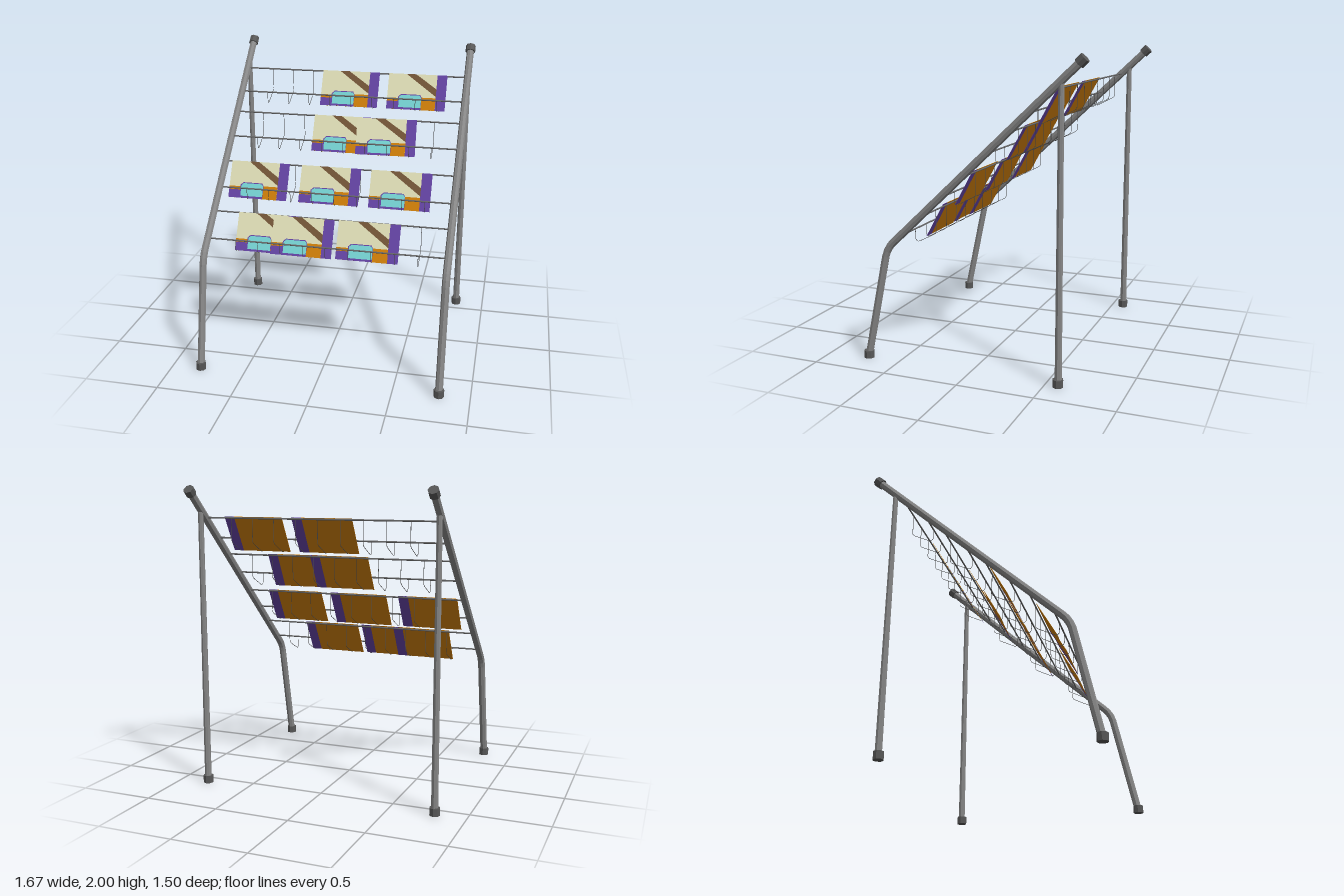
import * as THREE from 'three';

const mat = (name, color) => Object.assign(new THREE.MeshStandardMaterial({ color }), { name });

export function createModel() {
  const steel = mat('steel', 0x878787), rubber = mat('darkRubber', 0x585858);
  const rail = mat('railGrey', 0x686868), wire = mat('wireGrey', 0x505050);
  const cream = mat('cream', 0xdbdab4), purple = mat('purple', 0x6343a2);
  const orange = mat('orange', 0xcc7c08), cyan = mat('cyan', 0x75d2d2), brown = mat('brown', 0x725436);
  steel.flatShading = rubber.flatShading = true;

  const root = new THREE.Group();
  root.name = 'magazineRack';
  const add = (parent, name, geometry, material) => {
    const mesh = new THREE.Mesh(geometry, material);
    mesh.name = name;
    parent.add(mesh);
    return mesh;
  };
  const V = (y, z) => new THREE.Vector3(0, y, z);

  // Side frames: bent front tube, straight rear leg, end caps
  const bent = new THREE.CurvePath();
  const foot = V(0.02, 0.72), low = V(0.70, 0.575), knee = V(0.765, 0.56), high = V(0.81, 0.507), top = V(1.958, -0.707);
  bent.add(new THREE.LineCurve3(foot, low));
  bent.add(new THREE.QuadraticBezierCurve3(low, knee, high));
  bent.add(new THREE.LineCurve3(high, top));
  const tubeGeo = new THREE.TubeGeometry(bent, 64, 0.025, 8);
  const legGeo = new THREE.CylinderGeometry(0.018, 0.023, 1.8, 8);
  const capGeo = new THREE.CylinderGeometry(0.034, 0.034, 0.05, 8);
  for (const side of [-1, 1]) {
    const frame = new THREE.Group();
    frame.name = side > 0 ? 'leftFrame' : 'rightFrame';
    frame.position.x = side * 0.8;
    root.add(frame);
    add(frame, 'bentTube', tubeGeo, steel);
    add(frame, 'rearLeg', legGeo, steel).position.set(0, 0.93, -0.587);
    add(frame, 'frontFoot', capGeo, rubber).position.set(0, 0.027, 0.72);
    add(frame, 'rearFoot', capGeo, rubber).position.set(0, 0.027, -0.585);
    const cap = add(frame, 'topCap', capGeo, rubber);
    cap.position.copy(top);
    cap.quaternion.setFromUnitVectors(new THREE.Vector3(0, 1, 0), top.clone().sub(high).normalize());
  }

  // One wire hook, hung from the back rail and rising to the front rail
  const hookPath = new THREE.CurvePath();
  const hook = [V(0, 0), V(-0.14, 0), V(-0.155, 0.004), V(-0.163, 0.015), V(-0.218, 0.122),
    V(-0.22, 0.135), V(-0.207, 0.15), V(-0.138, 0.15)];
  for (let i = 1; i < hook.length; i++) hookPath.add(new THREE.LineCurve3(hook[i - 1], hook[i]));
  const hookGeo = new THREE.TubeGeometry(hookPath, 36, 0.0018, 5);
  const railGeo = new THREE.CylinderGeometry(0.0055, 0.0055, 1.6, 8).rotateZ(Math.PI / 2);

  // Magazine: thin body with flat cover shapes, origin at its lower right corner
  const W = 0.411, H = 0.257, S = 0.342;
  const flat = (...points) => new THREE.ShapeGeometry(new THREE.Shape(points.map(p => new THREE.Vector2(...p))));
  const rect = (x0, y0, x1, y1) => flat([x0, y0], [x1, y0], [x1, y1], [x0, y1]);
  const body = (x0, x1) => new THREE.BoxGeometry(x1 - x0, H, 0.002).translate((x0 + x1) / 2, H / 2, 0);
  const backGeo = body(0, S), spineGeo = body(S, W);
  const cover = [
    ['coverPanel', cream, rect(0, 0, S, H)],
    ['diagonalStripe', brown, flat([0.125, H], [S, 0.1], [S, 0.155], [0.192, H])],
    ['rightOrangeBlock', orange, rect(0.235, 0, S, 0.09)],
    ['leftOrangeBand', orange, rect(0, 0.05, 0.08, 0.08)],
    ['lowerPurpleBand', purple, rect(0, 0, 0.24, 0.057)],
    ['purpleOutline', purple, flat([0.078, 0], [0.243, 0], [0.243, 0.09], [0.232, 0.109], [0.098, 0.109], [0.078, 0.09])],
    ['cyanBlock', cyan, flat([0.085, 0.014], [0.241, 0.014], [0.241, 0.088], [0.229, 0.103], [0.1, 0.103], [0.085, 0.088])],
  ];
  cover.forEach(([, , g], i) => g.translate(0, 0, 0.0014 + i * 0.0004));
  const makeMagazine = () => {
    const magazine = new THREE.Group();
    magazine.name = 'magazine';
    add(magazine, 'magazineBody', backGeo, orange);
    add(magazine, 'purpleEdge', spineGeo, purple);
    for (const [name, material, geometry] of cover) add(magazine, name, geometry, material);
    return magazine;
  };

  // Four shelves: back rail height and depth, then magazines as [x, forward offset, yaw]
  const shelves = [
    [1.79, -0.53, [[-0.228, 0, 0], [0.25, 0, 0]]],
    [1.533, -0.255, [[-0.228, 0, 0], [0.085, 0.016, 0.05]]],
    [1.253, 0.03, [[-0.75, 0, 0], [-0.253, 0, 0], [0.228, 0, 0]]],
    [0.988, 0.31, [[-0.62, 0.003, 0], [-0.373, 0.014, 0], [0.065, 0.006, 0]]],
  ];
  for (const [y, z, magazines] of shelves) {
    const shelf = new THREE.Group();
    shelf.name = 'shelf';
    shelf.position.set(0, y, z);
    root.add(shelf);
    add(shelf, 'backRail', railGeo, rail);
    add(shelf, 'frontRail', railGeo, rail).position.set(0, -0.138, 0.15);
    for (let i = -4; i <= 4; i++) add(shelf, 'wireHook', hookGeo, wire).position.x = i * 0.152;
    for (const [x, dz, yaw] of magazines) {
      const magazine = makeMagazine();
      magazine.position.set(x, -0.217, 0.131 + dz);
      magazine.rotation.set(-0.505, yaw, 0, 'YXZ');
      shelf.add(magazine);
    }
  }
  return root;
}
